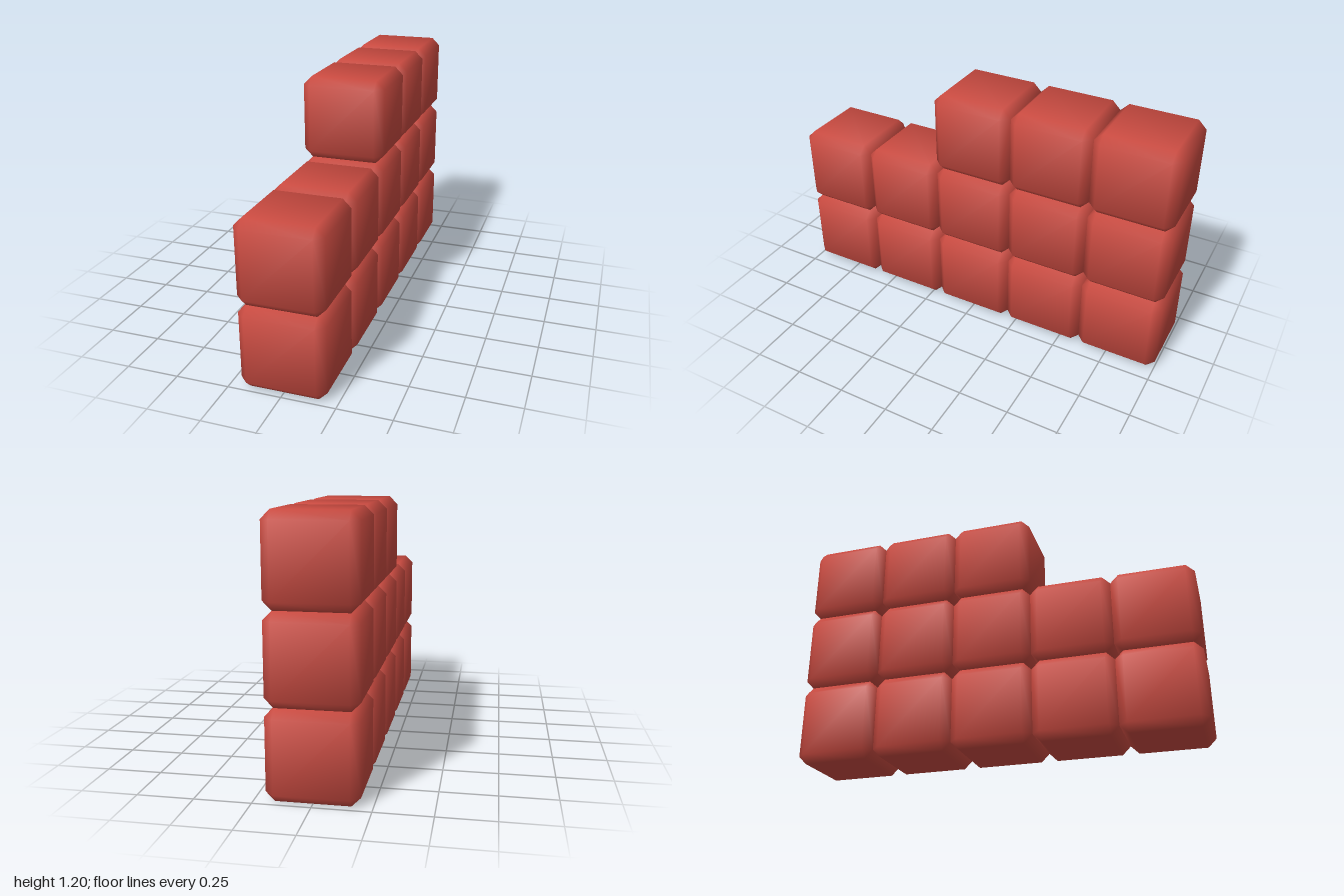
import * as THREE from 'three';
import { ConvexGeometry } from 'three/addons/geometries/ConvexGeometry.js';
import { mergeVertices } from 'three/addons/utils/BufferGeometryUtils.js';

const SIZE = 0.4;
const HALF = SIZE / 2;
const INNER = HALF - 0.04; // where the bevel starts

// Cube with bevelled edges and corners, shaded smoothly across the bevels
function bevelledCube() {
  const points = [];
  for (const sx of [-1, 1]) for (const sy of [-1, 1]) for (const sz of [-1, 1]) {
    points.push(
      new THREE.Vector3(sx * HALF, sy * INNER, sz * INNER),
      new THREE.Vector3(sx * INNER, sy * HALF, sz * INNER),
      new THREE.Vector3(sx * INNER, sy * INNER, sz * HALF)
    );
  }
  const hull = new ConvexGeometry(points);
  hull.deleteAttribute('normal');
  const geometry = mergeVertices(hull);
  geometry.computeVertexNormals();

  // Each normal leans from its face towards the two neighbouring bevels
  const { position, normal } = geometry.attributes;
  const lean = (v) => Math.sign(v) * (Math.abs(v) > INNER + 0.01 ? 1 : 0.39);
  const n = new THREE.Vector3();
  for (let i = 0; i < position.count; i++) {
    n.set(lean(position.getX(i)), lean(position.getY(i)), lean(position.getZ(i))).normalize();
    normal.setXYZ(i, n.x, n.y, n.z);
  }
  return geometry;
}

export function createModel() {
  const model = new THREE.Group();
  model.name = 'steppedBlockWall';
  const geometry = bevelledCube();
  const material = new THREE.MeshStandardMaterial({ color: 0xc94a40 });

  // Rows from the ground up, each counted from the back
  const rows = [5, 5, 3];
  rows.forEach((count, row) => {
    const group = new THREE.Group();
    group.name = `blockRow${row + 1}`;
    for (let i = 0; i < count; i++) {
      const block = new THREE.Mesh(geometry, material);
      block.name = `block${i + 1}`;
      block.position.set(0, HALF + row * SIZE, -1 + HALF + i * SIZE);
      group.add(block);
    }
    model.add(group);
  });
  return model;
}
